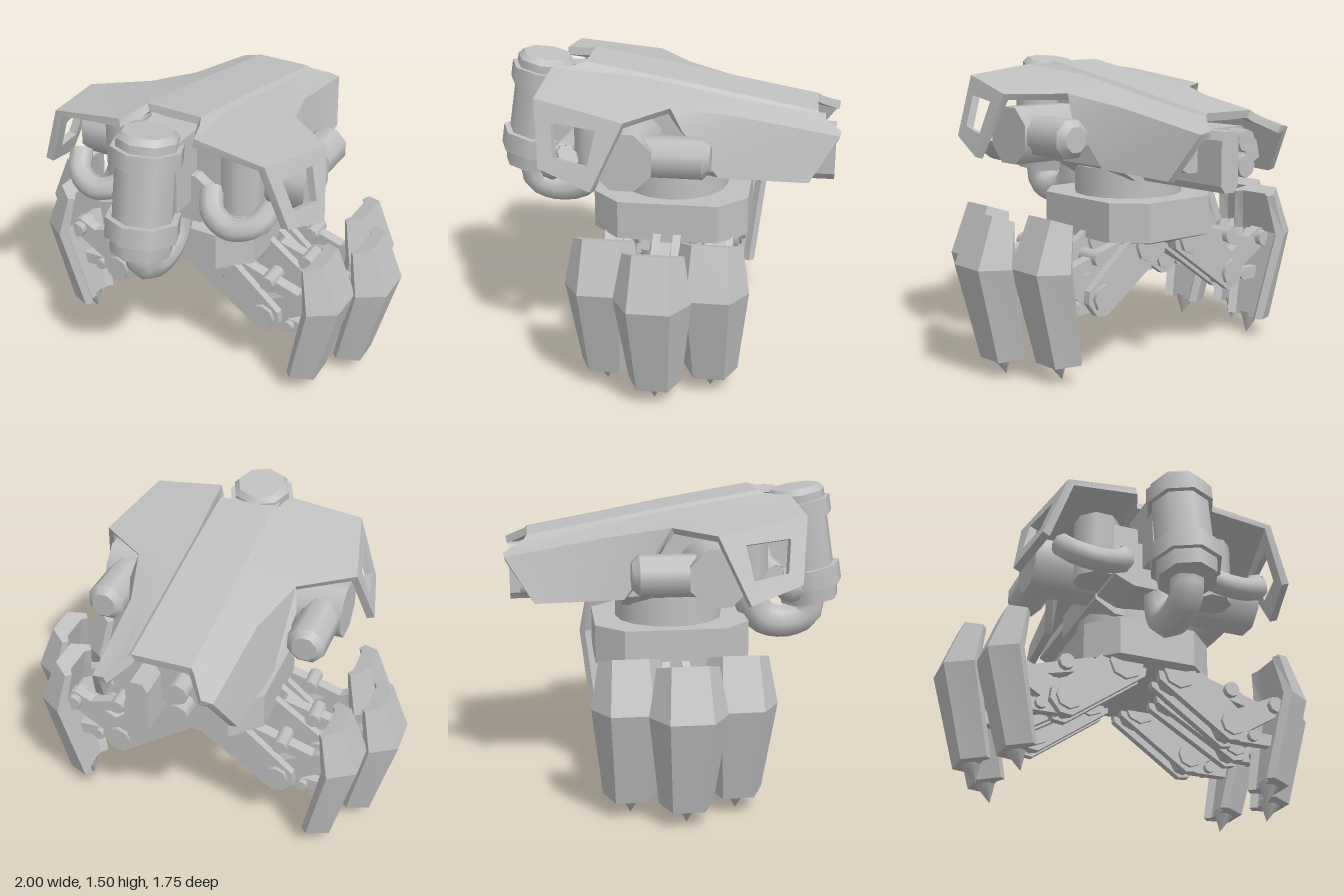
import * as THREE from 'three';
import { toCreasedNormals } from 'three/addons/utils/BufferGeometryUtils.js';

const metal = new THREE.MeshStandardMaterial({ color: 0xc0c0c0, side: THREE.DoubleSide });
metal.name = 'lightGrey';

function add(parent, name, geo, x = 0, y = 0, z = 0) {
  const m = new THREE.Mesh(geo, metal);
  m.name = name;
  m.position.set(x, y, z);
  parent.add(m);
  return m;
}
const V = (x, y, z) => new THREE.Vector3(x, y, z);
const polygon = pts => new THREE.Shape(pts.map(p => new THREE.Vector2(...p)));
const prism = (pts, depth) => new THREE.ExtrudeGeometry(polygon(pts), { depth, bevelEnabled: false });
const mirrored = half => [...half, ...half.map(([x, y]) => [-x, y]).reverse()];

// Geometry from convex polygons of points
function fromFaces(faces, crease) {
  const pos = [];
  for (const f of faces)
    for (let i = 1; i < f.length - 1; i++)
      for (const p of [f[0], f[i], f[i + 1]]) pos.push(p.x, p.y, p.z);
  const g = new THREE.BufferGeometry();
  g.setAttribute('position', new THREE.Float32BufferAttribute(pos, 3));
  g.computeVertexNormals();
  return toCreasedNormals(g, crease);
}

// Gives a sheet of quads thickness: an inner copy plus a rim on every open edge
function shell(quads, t) {
  const key = p => p.toArray().map(v => v.toFixed(3)).join();
  const normals = {}, edges = {};
  for (const q of quads) {
    const n = q[2].clone().sub(q[0]).cross(q[3].clone().sub(q[1])).normalize();
    q.forEach((p, i) => {
      (normals[key(p)] ??= V(0, 0, 0)).add(n);
      edges[key(p) + '|' + key(q[(i + 1) % 4])] = [p, q[(i + 1) % 4]];
    });
  }
  const inner = p => p.clone().addScaledVector(normals[key(p)].clone().normalize(), -t);
  const faces = [...quads, ...quads.map(q => q.map(inner).reverse())];
  for (const [k, [a, b]] of Object.entries(edges))
    if (!edges[k.split('|').reverse().join('|')]) faces.push([b, a, inner(a), inner(b)]);
  return fromFaces(faces, .4);
}

function carapace() {
  // Rows run back to front, points run from the centre line to the lower edge
  const rows = [
    [[0, 1.28, -.76], [.145, 1.28, -.76], [.165, 1.262, -.775], [.235, 1.21, -.875], [.29, 1.2, -.87], [.355, .98, -.73]],
    [[0, 1.35, -.37], [.145, 1.35, -.37], [.165, 1.332, -.37], [.24, 1.315, -.37], [.32, 1.29, -.37], [.385, .995, -.3]],
    [[0, 1.405, -.08], [.145, 1.405, -.08], [.165, 1.387, -.08], [.28, 1.367, -.08], [.41, 1.345, -.07], [.435, 1.24, -.13]],
    [[0, 1.437, .11], [.145, 1.437, .11], [.165, 1.42, .11], [.4, 1.385, .11], [.66, 1.345, .115], [.735, 1.03, .26]],
    [[0, 1.483, .385], [.145, 1.483, .385], [.165, 1.468, .43], [.2, 1.46, .545], [.56, 1.415, .55], [.67, 1.11, .515]],
  ];
  const quads = [];
  for (const s of [1, -1]) {
    const P = rows.map(r => r.map(p => V(s * p[0], p[1], p[2])));
    const push = (...q) => quads.push(s > 0 ? q : q.reverse());
    for (let r = 0; r < 4; r++)
      for (let c = 0; c < (r < 2 ? 5 : 4); c++)
        push(P[r][c], P[r + 1][c], P[r + 1][c + 1], P[r][c + 1]);
    // Side panel framed around a window
    const o = [P[3][4], P[4][4], P[4][5], P[3][5]];
    const hole = [[.25, .2], [.8, .27], [.74, .75], [.2, .7]].map(([u, v]) =>
      o[0].clone().lerp(o[1], u).lerp(o[3].clone().lerp(o[2], u), v));
    for (let i = 0; i < 4; i++) {
      const j = (i + 1) % 4;
      push(o[i], o[j], hole[j], hole[i]);
    }
  }
  return shell(quads, .04);
}

// Claw: shallow channel section lofted through three levels
function clawGeometry() {
  // height, outer x, face half-width, full half-width, depth factor, rise with depth
  const levels = [[.805, .905, .085, .145, .62, -.35], [.56, 1, .1, .183, 1, 0], [.09, .88, .075, .13, .85, .1]];
  const loops = levels.map(([y, x, a, b, f, k]) => {
    const half = [[0, a], [.13, b], [.165, b - .03], [.13, b - .065]];
    const pt = ([d, z], s) => V(x - d * f, y + k * d * f, s * z);
    return [...half.map(h => pt(h, 1)), ...half.reverse().map(h => pt(h, -1))];
  });
  const faces = [];
  for (let l = 0; l < 2; l++)
    for (let i = 0; i < 8; i++) {
      const j = (i + 1) % 8;
      faces.push([loops[l + 1][i], loops[l + 1][j], loops[l][j], loops[l][i]]);
    }
  for (const [L, up] of [[loops[0], true], [loops[2], false]])
    for (const f of [[3, 2, 1, 0], [7, 6, 5, 4], [7, 4, 3, 0]]) {
      const q = f.map(i => L[i]);
      faces.push(up ? q.reverse() : q);
    }
  return fromFaces(faces, .15);
}

// Flat bar with clipped ends between two pivots in the xy plane
function link(parent, name, [x1, y1], [x2, y2], r1, r2, t, z) {
  const len = Math.hypot(x2 - x1, y2 - y1);
  const g = prism([[-r1, -r1 / 2], [-r1 / 2, -r1], [len + r2 / 2, -r2], [len + r2, -r2 / 2],
    [len + r2, r2 / 2], [len + r2 / 2, r2], [-r1 / 2, r1], [-r1, r1 / 2]], t).translate(0, 0, -t / 2);
  add(parent, name, g, x1, y1, z).rotation.z = Math.atan2(y2 - y1, x2 - x1);
}
const bolt = (parent, name, [x, y], r, len) =>
  add(parent, name, new THREE.CylinderGeometry(r, r, len, 8).rotateX(Math.PI / 2), x, y, 0);

function makeLeg(out) {
  const leg = new THREE.Group();
  leg.name = 'leg';
  const hip = [.145 + out * .65, .61], knee = [.435 + out, .385], mount = [.7 + out, .53];
  for (const z of [-.05, .05]) link(leg, 'upperArm', hip, knee, .105, .085, .04, z);
  bolt(leg, 'hipBolt', hip, .088, .18);
  bolt(leg, 'kneeBolt', knee, .068, .18);
  link(leg, 'lowerArm', knee, mount, .07, .05, .06, 0);
  bolt(leg, 'ankleBolt', mount, .042, .13);
  link(leg, 'lowerStrut', [knee[0] + .05, .345], [.72 + out, .34], .035, .03, .05, 0);
  bolt(leg, 'strutBolt', [knee[0] + .13, .345], .03, .11);
  link(leg, 'upperStrut', [hip[0] + .15, .6], [mount[0] - .04, .5], .035, .025, .06, 0);
  bolt(leg, 'upperStrutBolt', [hip[0] + .3, .575], .04, .13);
  add(leg, 'claw', clawGeometry(), out - .145);
  const tip = new THREE.ConeGeometry(.055, .11, 6).rotateX(Math.PI);
  add(leg, 'clawTip', tip, out + .652, .058, 0).rotation.z = -.25;
  return leg;
}

// Bent tube with flat ends
function hose(parent, name, pts, r) {
  const g = new THREE.TubeGeometry(new THREE.CatmullRomCurve3(pts.map(p => V(...p))), 14, r, 8);
  add(parent, name, g);
  for (const [p, q] of [[pts[0], pts[1]], [pts.at(-1), pts.at(-2)]])
    add(parent, name + 'End', new THREE.CircleGeometry(r, 8), ...p).lookAt(...p.map((v, i) => 2 * v - q[i]));
}

export function createModel() {
  const model = new THREE.Group();
  model.name = 'walker';
  add(model, 'carapace', carapace());

  // Chassis under the carapace
  const belly = mirrored([[.17, .918], [.28, .985], [.28, 1.12], [.15, 1.2]]);
  const bow = mirrored([[.17, .955], [.27, 1], [.27, 1.12], [.15, 1.2]]);
  const stern = mirrored([[.2, 1], [.28, 1.04], [.26, 1.12], [.15, 1.2]]);
  add(model, 'chassisMiddle', prism(belly, .5), 0, 0, -.3);
  add(model, 'chassisFront', prism(bow, .27), 0, 0, .18);
  add(model, 'chassisRear', prism(stern, .42), 0, 0, -.7);
  add(model, 'chassisCore', new THREE.BoxGeometry(.54, .26, .5), 0, 1.19, .14);
  add(model, 'frontMount', new THREE.BoxGeometry(.25, .36, .3), 0, 1.24, .43);

  // Rear fittings
  const fin = prism([[.03, .95], [.055, .915], [.115, .915], [.14, .95], [.14, 1.16], [.115, 1.2], [.055, 1.2], [.03, 1.16]], .55);
  add(model, 'rearFin', fin, 0, 0, -.855);
  for (const y of [1.02, 1.14])
    add(model, 'rearPort', new THREE.CylinderGeometry(.055, .055, .2, 8).rotateX(Math.PI / 2), -.085, y, -.7);

  // Leaning front canister, built along its own axis from the top down
  const can = new THREE.Group();
  can.name = 'canister';
  can.position.set(0, 1.48, .607);
  can.rotation.x = -.162;
  model.add(can);
  for (const [name, r0, r1, top, bottom] of [
    ['canisterCap', .125, .15, 0, .03], ['canisterBody', .15, .15, .03, .5],
    ['upperBand', .175, .175, .07, .155], ['lowerBand', .182, .182, .42, .52],
    ['canisterFoot', .16, .15, .5, .6]])
    add(can, name, new THREE.CylinderGeometry(r0, r1, bottom - top, 8), 0, -(top + bottom) / 2, 0);
  hose(model, 'frontHose', [[0, .9, .695], [0, .81, .68], [0, .768, .58], [0, .79, .46], [0, .87, .395], [0, 1, .37]], .087);

  // Paired shoulder machinery
  for (const s of [1, -1]) {
    hose(model, 'sideHose', [[.21, 1.13, .4], [.26, 1.055, .48], [.375, 1.02, .515], [.49, 1.055, .48], [.535, 1.13, .4]]
      .map(([x, y, z]) => [s * x, y, z]), .06);
    const column = new THREE.CylinderGeometry(.115, .115, .34, 8).rotateY(Math.PI / 8);
    add(model, 'shoulderColumn', column, s * .315, 1.19, .3);
    const drum = new THREE.CylinderGeometry(.15, .15, .42, 8).rotateY(Math.PI / 8).rotateZ(Math.PI / 2);
    add(model, 'shoulderDrum', drum, s * .415, 1.14, .13);
    const tube = (r0, r1, l) => new THREE.CylinderGeometry(r0, r1, l, 8).rotateX(-Math.PI / 2).rotateZ(Math.PI / 8);
    add(model, 'sideCylinder', tube(.1, .1, .34), s * .52, 1.143, -.07);
    add(model, 'sideCylinderCap', tube(.065, .1, .035), s * .52, 1.143, -.257);
  }

  // Turret and hip block, with a narrowed underside
  add(model, 'turretNeck', new THREE.CylinderGeometry(.275, .275, .16, 16), 0, .89, -.045);
  const hip = polygon([[.34, .25], [.2, .39], [-.2, .39], [-.34, .25], [-.34, -.25], [-.2, -.39], [.2, -.39], [.34, -.25]]);
  const hipGeo = new THREE.ExtrudeGeometry(hip, { depth: .24, steps: 2, bevelEnabled: false }).rotateX(Math.PI / 2);
  const p = hipGeo.attributes.position;
  for (let i = 0; i < p.count; i++) {
    if (p.getY(i) < -.2) p.setXYZ(i, p.getX(i) * .6, p.getY(i), p.getZ(i) * .7);
    else if (p.getY(i) < -.1) p.setY(i, -.195);
  }
  hipGeo.computeVertexNormals();
  add(model, 'hipBlock', hipGeo, 0, .825, -.045);

  // Three legs on each side, the middle one reaching further out
  for (const turn of [0, Math.PI]) {
    const side = new THREE.Group();
    side.name = turn ? 'rightLegs' : 'leftLegs';
    side.position.z = -.045;
    side.rotation.y = turn;
    for (const [z, out] of [[-.255, 0], [0, .145], [.255, 0]]) {
      const leg = makeLeg(out);
      leg.position.z = z;
      side.add(leg);
    }
    model.add(side);
  }
  return model;
}
